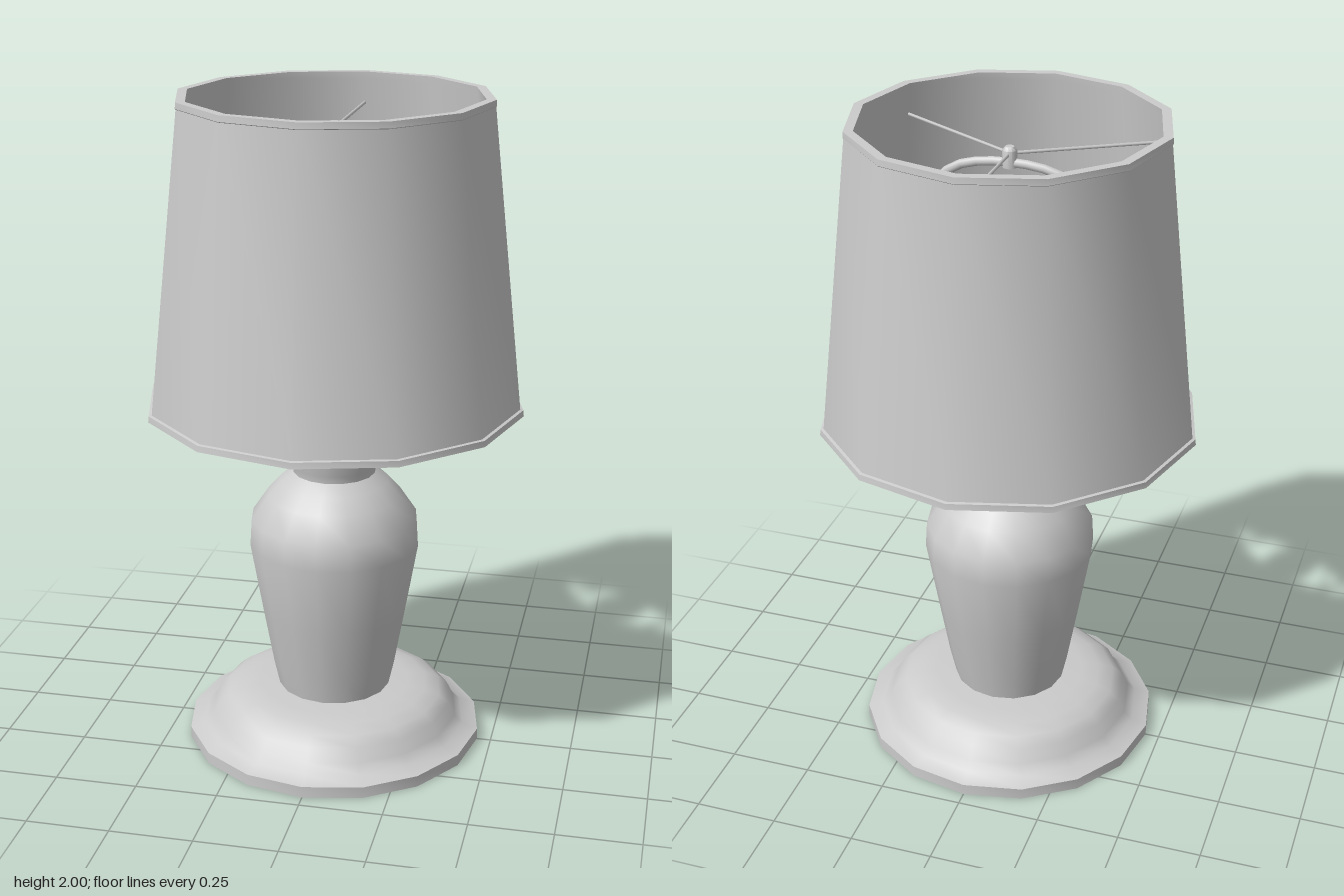
import * as THREE from 'three';
import { toCreasedNormals } from 'three/addons/utils/BufferGeometryUtils.js';

const material = new THREE.MeshStandardMaterial({ color: 0xcccccc });

function add(group, name, geometry) {
  const mesh = new THREE.Mesh(geometry, material);
  mesh.name = name;
  group.add(mesh);
  return mesh;
}

// Turned part from [radius, height] pairs, with hard edges kept sharp
function turned(profile, sides, crease = 0.8) {
  const points = profile.map(([r, y]) => new THREE.Vector2(r, y));
  return toCreasedNormals(new THREE.LatheGeometry(points, sides), crease);
}

export function createModel() {
  const lamp = new THREE.Group();
  lamp.name = 'tableLamp';

  // Round foot
  add(lamp, 'base', turned([
    [0, 0], [0.457, 0], [0.457, 0.035], [0.41, 0.05], [0.385, 0.075],
    [0.365, 0.115], [0.335, 0.14], [0.29, 0.157], [0.235, 0.165], [0, 0.165],
  ], 16));

  // Vase-shaped body with flared neck
  add(lamp, 'body', turned([
    [0.172, 0.16], [0.19, 0.24], [0.222, 0.42], [0.26, 0.64], [0.255, 0.72],
    [0.205, 0.795], [0.165, 0.84], [0.125, 0.868], [0.128, 0.89], [0.156, 0.97],
    [0.154, 1.0], [0.14, 1.025], [0.115, 1.035], [0, 1.035],
  ], 16));

  // Stem, socket and bulb
  add(lamp, 'stem', turned([[0.034, 1.03], [0.034, 1.3]], 10));
  add(lamp, 'socket', turned([
    [0, 1.26], [0.04, 1.26], [0.062, 1.29], [0.062, 1.42], [0, 1.42],
  ], 10));
  add(lamp, 'bulb', turned([
    [0.04, 1.41], [0.045, 1.47], [0.085, 1.54], [0.095, 1.6], [0.08, 1.66],
    [0.045, 1.695], [0, 1.705],
  ], 8, 1.2));

  // Harp: closed wire loop around the bulb
  const side = [
    [0.1, 1.23], [0.165, 1.25], [0.19, 1.31], [0.225, 1.42], [0.262, 1.58],
    [0.25, 1.72], [0.19, 1.83], [0.1, 1.87],
  ];
  const loop = [
    ...side.map(([x, y]) => new THREE.Vector3(x, y, 0)),
    ...[...side].reverse().map(([x, y]) => new THREE.Vector3(-x, y, 0)),
  ];
  const harpCurve = new THREE.CatmullRomCurve3(loop, true);
  add(lamp, 'harp', new THREE.TubeGeometry(harpCurve, 40, 0.0135, 8, true));

  // Hub and three spokes carrying the shade
  const hub = add(lamp, 'finial', turned([
    [0, -0.03], [0.021, -0.03], [0.021, 0.02], [0.013, 0.03], [0, 0.03],
  ], 10));
  hub.position.y = 1.895;
  for (let i = 0; i < 3; i++) {
    const spoke = new THREE.CylinderGeometry(0.005, 0.005, 0.44, 6, 1);
    spoke.rotateX(Math.PI / 2).translate(0, 1.905, -0.22).rotateY((i * Math.PI * 2) / 3);
    add(lamp, 'spoke', spoke);
  }

  // Twelve-sided shade: closed shell with trim at both rims
  add(lamp, 'shade', turned([
    [0.542, 1.08], [0.567, 1.08], [0.565, 1.098], [0.556, 1.1], [0.459, 1.98],
    [0.461, 1.982], [0.46, 2], [0.432, 2], [0.434, 1.98], [0.54, 1.1], [0.542, 1.08],
  ], 12));

  return lamp;
}
